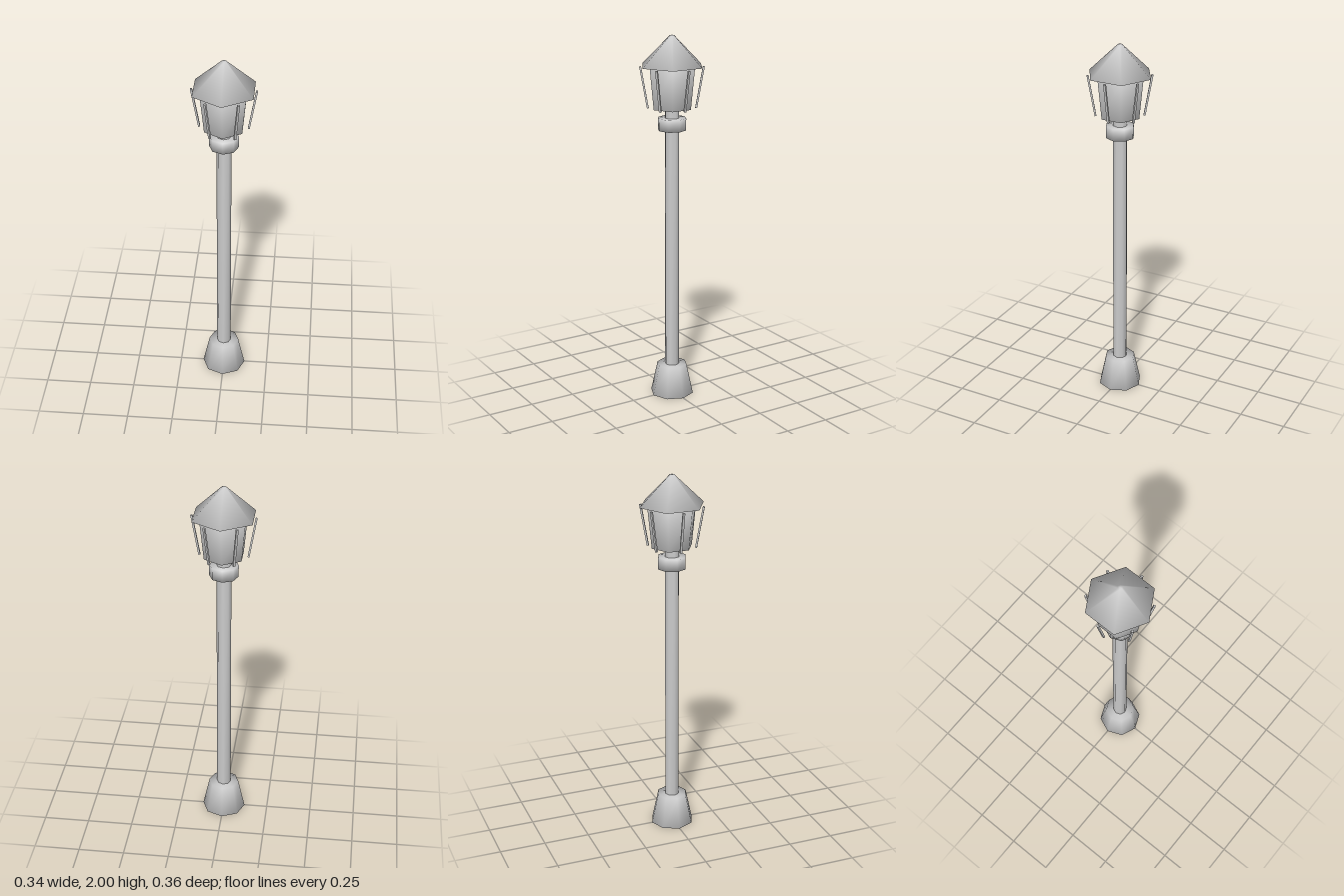
import * as THREE from 'three';
import { mergeVertices } from 'three/addons/utils/BufferGeometryUtils.js';

const material = new THREE.MeshStandardMaterial({ color: 0xcccccc, side: THREE.DoubleSide });

// Few-sided tapered prism between two heights, with normals blended over its edges
function prism(name, rBottom, rTop, y0, y1, sides) {
  let geo = new THREE.CylinderGeometry(rTop, rBottom, y1 - y0, sides);
  geo.deleteAttribute('normal');
  geo.deleteAttribute('uv');
  geo = mergeVertices(geo, 1e-4);
  geo.computeVertexNormals();
  geo.translate(0, (y0 + y1) / 2, 0);
  const mesh = new THREE.Mesh(geo, material);
  mesh.name = name;
  return mesh;
}

export function createModel() {
  const group = new THREE.Group();
  group.name = 'streetLamp';

  // Octagonal post
  group.add(prism('base', 0.12, 0.083, 0, 0.17, 8));
  group.add(prism('pole', 0.039, 0.039, 0.16, 1.63, 8));
  group.add(prism('collar', 0.077, 0.077, 1.5, 1.565, 8));

  // Hexagonal lantern and its overhanging roof
  group.add(prism('lanternBody', 0.112, 0.136, 1.617, 1.845, 6));
  group.add(prism('roof', 0.178, 0.012, 1.84, 2, 6));

  // Slanted bars in front of each lantern pane
  const low = new THREE.Vector2(0.127, 1.617);
  const high = new THREE.Vector2(0.166, 1.837);
  const run = high.clone().sub(low);
  const barGeo = new THREE.BoxGeometry(0.01, run.length(), 0.012);
  barGeo.rotateZ(-Math.atan2(run.x, run.y));
  barGeo.translate((low.x + high.x) / 2, (low.y + high.y) / 2, 0);
  const bars = new THREE.Group();
  bars.name = 'lanternBars';
  for (let i = 0; i < 6; i++) {
    const bar = new THREE.Mesh(barGeo, material);
    bar.name = 'lanternBar';
    bar.rotation.y = (i * Math.PI) / 3;
    bars.add(bar);
  }
  group.add(bars);

  return group;
}
